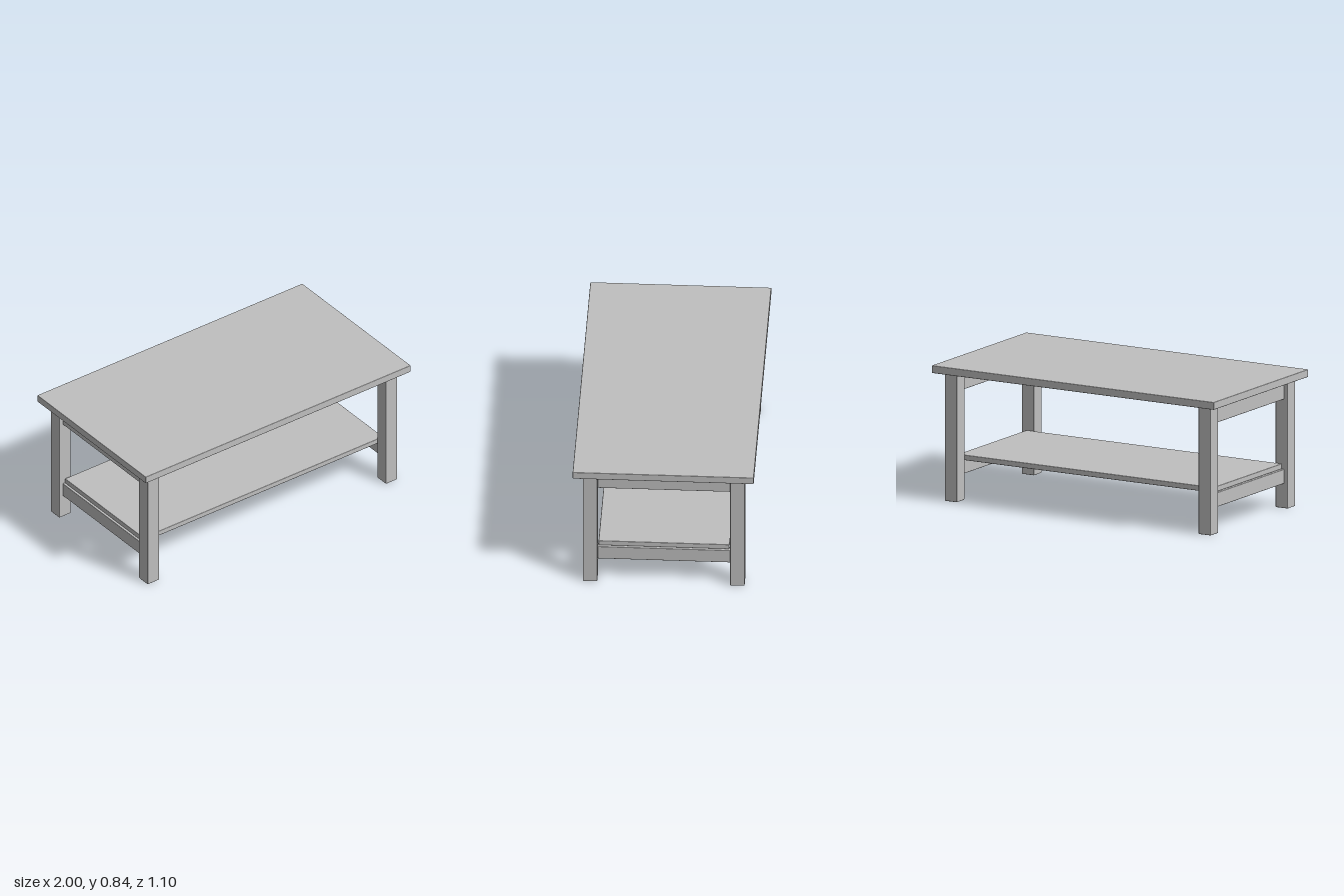
import * as THREE from 'three';
import { RoundedBoxGeometry } from 'three/addons/geometries/RoundedBoxGeometry.js';

const BEVEL = 0.004;

// Softly bevelled board spanning [min, max] on each axis
function board(name, material, x, y, z) {
  const size = [x, y, z].map(([a, b]) => b - a);
  const mesh = new THREE.Mesh(new RoundedBoxGeometry(...size, 2, BEVEL), material);
  mesh.position.set((x[0] + x[1]) / 2, (y[0] + y[1]) / 2, (z[0] + z[1]) / 2);
  mesh.name = name;
  return mesh;
}

// Remove the flat underside so the post is open at the foot
function openBottom(geometry) {
  const g = geometry.index ? geometry.toNonIndexed() : geometry;
  const p = g.attributes.position;
  g.computeBoundingBox();
  const floor = g.boundingBox.min.y + 1e-4;
  const keep = [];
  for (let i = 0; i < p.count; i += 3) {
    if ([0, 1, 2].some((k) => p.getY(i + k) > floor)) keep.push(i, i + 1, i + 2);
  }
  g.setIndex(keep);
  g.clearGroups();
  return g;
}

export function createModel() {
  const table = new THREE.Group();
  table.name = 'coffeeTable';
  const grey = new THREE.MeshStandardMaterial({ color: 0xc0c0c0, side: THREE.DoubleSide });
  grey.name = 'grey';

  // Top and lower shelf
  table.add(board('tableTop', grey, [-1, 1], [0.795, 0.842], [-0.548, 0.548]));
  table.add(board('shelf', grey, [-0.905, 0.905], [0.243, 0.276], [-0.396, 0.396]));

  for (const side of [-1, 1]) {
    const end = side > 0 ? 'left' : 'right';
    const railX = side > 0 ? [0.878, 0.918] : [-0.918, -0.878];
    const legX = side > 0 ? [0.856, 0.942] : [-0.942, -0.856];

    // End rails between the legs
    table.add(board(`${end}UpperRail`, grey, railX, [0.675, 0.795], [-0.402, 0.402]));
    table.add(board(`${end}LowerRail`, grey, railX, [0.153, 0.242], [-0.402, 0.402]));

    // Hollow square legs
    for (const depth of [-1, 1]) {
      const legZ = depth > 0 ? [0.402, 0.49] : [-0.49, -0.402];
      const leg = board(`${end}${depth > 0 ? 'Front' : 'Back'}Leg`, grey, legX, [0, 0.797], legZ);
      leg.geometry = openBottom(leg.geometry);
      table.add(leg);
    }
  }
  return table;
}
